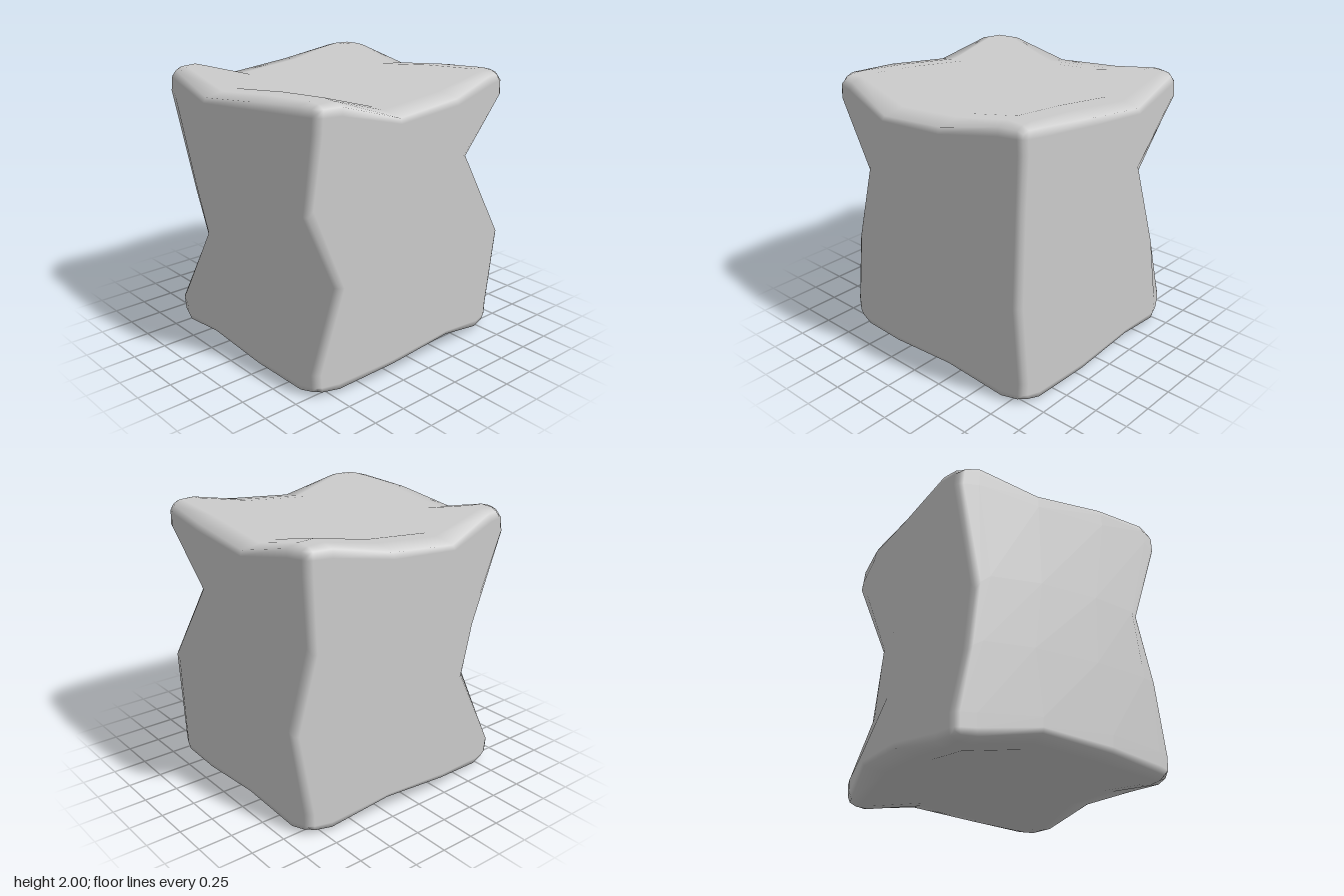
import * as THREE from 'three';
import { mergeVertices } from 'three/addons/utils/BufferGeometryUtils.js';

// Outward reach of each side at the eight height rows, bottom to top
const REACH = {
  right: [0.91, 0.92, 0.92, 0.98, 0.78, 0.94, 0.94, 0.92],
  left: [0.95, 0.965, 0.97, 0.81, 0.81, 0.98, 0.97, 0.95],
  front: [0.94, 0.955, 0.96, 0.81, 0.9, 0.955, 0.95, 0.93],
  back: [0.94, 0.95, 0.955, 0.955, 0.8, 0.955, 0.95, 0.935],
};

// How far each wall curves back from its middle towards its vertical edges
const CURVE_X = [0.135, 0.115, 0.08, 0, 0, 0.08, 0.115, 0.135];
const CURVE_Z = [0.105, 0.085, 0.05, 0, 0, 0.05, 0.085, 0.105];

// Inner grid lines as a share of the reach, and the rounding of the rim
const LINE = [0, 0, 0.73, 0.28, 0.28, 0.73, 0, 0];
const RIM = [0.028, 0.005, 0, 0, 0, 0, 0.005, 0.028];
const BEVEL = 0.03;

// Dips of the top and bottom along x and z
const TOP_X = [0, 0, 0, 0.1, 0.035, 0, 0, 0];
const TOP_Z = [0, 0, 0, 0.08, 0.125, 0, 0, 0];
const LOW_X = [0, 0, 0, 0.085, 0.045, 0, 0, 0];
const LOW_Z = [0, 0, 0, 0.11, 0.07, 0, 0, 0];

const LAST = 7;
const mix = THREE.MathUtils.lerp;

function across(i, k, row, low, high, curve) {
  const reach = (i > 3 ? high : low)[row];
  const sign = i > 3 ? 1 : -1;
  if (i === 0 || i === LAST) return sign * (reach - curve[k]);
  if (i === 1 || i === LAST - 1) return sign * (reach - curve[0] - BEVEL);
  return sign * reach * LINE[i];
}

function height(i, j, k) {
  // The waist rows drop mainly towards the left and the front corner
  const u = 1 - (1 - i / LAST) ** 3, v = (k / LAST) ** 3;
  const top = TOP_X[i] + TOP_Z[k];
  const low = LOW_X[i] + LOW_Z[k];
  const rim = RIM[i] + RIM[k];
  return [
    low + rim,
    0.075 + low * 0.85,
    0.17 + low * 0.5,
    mix(0.68, 0.78, u),
    mix(mix(1.22, 1.35, u), mix(1.08, 1.23, u), v),
    1.82 - top * 0.5,
    1.92 - top * 0.85,
    2 - top - rim,
  ][j];
}

export function createModel() {
  const group = new THREE.Group();
  group.name = 'stoneBlock';

  // Gridded cube with soft edges; its even shading is kept while it is reshaped
  let geometry = new THREE.BoxGeometry(LAST, LAST, LAST, LAST, LAST, LAST);
  geometry.deleteAttribute('uv');
  geometry.deleteAttribute('normal');
  geometry = mergeVertices(geometry);
  geometry.computeVertexNormals();

  const p = geometry.attributes.position;
  for (let n = 0; n < p.count; n++) {
    const [i, j, k] = [p.getX(n), p.getY(n), p.getZ(n)].map((c) => Math.round(c + LAST / 2));
    p.setXYZ(
      n,
      across(i, k, j, REACH.left, REACH.right, CURVE_X),
      height(i, j, k),
      across(k, i, j, REACH.back, REACH.front, CURVE_Z),
    );
  }

  const block = new THREE.Mesh(geometry, new THREE.MeshStandardMaterial({ color: 0xcccccc }));
  block.name = 'block';
  group.add(block);
  return group;
}
